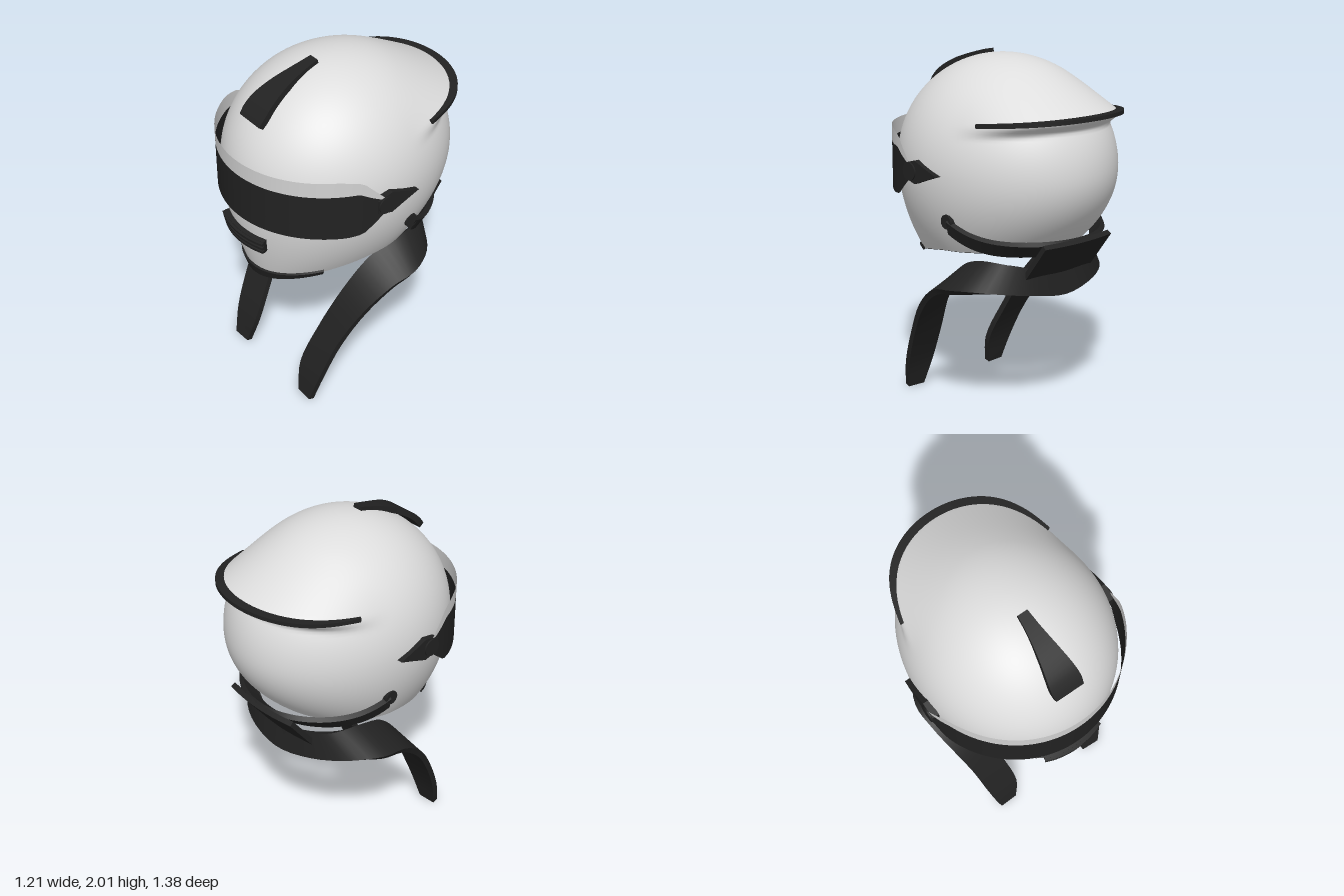
import * as THREE from 'three';
import { toCreasedNormals } from 'three/addons/utils/BufferGeometryUtils.js';

const V = (x, y, z) => new THREE.Vector3(x, y, z);
const mat = (name, color) => {
  const m = new THREE.MeshStandardMaterial({ color, side: THREE.DoubleSide });
  m.name = name;
  return m;
};
const range = (n, a, b) => Array.from({ length: n + 1 }, (_, i) => a + (b - a) * i / n);
const { smoothstep, lerp } = THREE.MathUtils;

// Surface through a list of equal-length cross-sections
function loft(sections, closed, capped) {
  const n = sections[0].length, idx = [], last = sections.length - 1;
  const m = closed ? n : n - 1;
  for (let i = 0; i < last; i++) {
    for (let j = 0; j < m; j++) {
      const a = i * n + j, b = i * n + (j + 1) % n;
      idx.push(a, b, b + n, a, b + n, a + n);
    }
  }
  if (capped) {
    const e = last * n;
    for (let j = 1; j < n - 1; j++) idx.push(0, j + 1, j, e, e + j, e + j + 1);
  }
  const g = new THREE.BufferGeometry().setFromPoints(sections.flat());
  g.setIndex(idx);
  g.computeVertexNormals();
  return g;
}

// Solid strip stretched between two edge curves
function ribbon(edgeA, edgeB, thick, n) {
  const A = new THREE.CatmullRomCurve3(edgeA), B = new THREE.CatmullRomCurve3(edgeB);
  const sections = range(n, 0, 1).map(t => {
    const a = A.getPoint(t), b = B.getPoint(t);
    const along = A.getTangent(t).add(B.getTangent(t));
    const off = b.clone().sub(a).cross(along).normalize().multiplyScalar(thick / 2);
    return [a.clone().add(off), b.clone().add(off), b.clone().sub(off), a.clone().sub(off)];
  });
  return toCreasedNormals(loft(sections, true, true), 0.6);
}

// Helmet surface at azimuth a (0 = front) and height y, with a raised rear lip
const lipY = a => 1.65 + 0.075 * -Math.cos(a);
const bottomY = a => {
  const c = Math.cos(a);
  return c > 0 ? 0.95 - 0.15 * c ** 1.2 : 0.95 - 0.04 * c;
};
function shell(a, y) {
  const c = Math.cos(a), d = 1.4 - y;
  let w = 0.57, f = 0.64, b = 0.69, k = 1;
  if (d > 0) {
    w -= 0.65 * d * d; f -= 0.25 * d * d; b -= 1.375 * d * d;
  } else {
    const s = Math.sqrt(Math.max(0, 1 - (d / 0.6) ** 2)), l = lipY(a);
    w *= s; f *= s; b *= s;
    const g = y > l ? Math.max(0, 1 - (y - l) / 0.2) ** 1.5 : smoothstep(y, l - 0.08, l);
    k += 0.19 * smoothstep(-c, 0.2, 1) * g;
  }
  return V(w * Math.sin(a) * k, y, 0.03 + (c > 0 ? f : b) * c * k);
}
const out = (a, y, d) => shell(a, y).add(V(Math.sin(a) * d, 0, Math.cos(a) * d));

export function createModel() {
  const group = new THREE.Group();
  const white = mat('shell white', 0xdddddd);
  const black = mat('trim black', 0x222222);
  const clear = mat('visor pale grey', 0xd2d2d2);
  const add = (name, geo, m) => {
    const mesh = new THREE.Mesh(geo, m);
    mesh.name = name;
    group.add(mesh);
    return mesh;
  };

  // Shell
  const around = range(96, 0, Math.PI * 2).slice(0, 96);
  const rows = [];
  for (const v of range(20, 0, 1).slice(0, 20)) rows.push(around.map(a => shell(a, lerp(bottomY(a), 1.4, v))));
  for (const p of range(56, 0, Math.PI / 2)) rows.push(around.map(a => shell(a, 1.4 + 0.6 * Math.sin(p))));
  add('helmetShell', loft(rows, true, false), white);

  // Visor: dark band below, pale band above, tapering to the pivots
  const visorPoint = (a, y) => V(0.6 * Math.sin(a), y, 0.06 + 0.625 * Math.cos(a));
  const taper = (pts, z) => {
    for (let i = 1; i < pts.length; i++) {
      const [z0, y0] = pts[i - 1], [z1, y1] = pts[i];
      if (z <= z1) return lerp(y0, y1, Math.max(0, (z - z0) / (z1 - z0)));
    }
    return pts[pts.length - 1][1];
  };
  const low = [[0.14, 1.36], [0.27, 1.25], [0.35, 1.24]];
  const mid = [[0.14, 1.43], [0.22, 1.47], [0.29, 1.51]];
  const top = [[0.14, 1.44], [0.27, 1.575], [0.38, 1.6]];
  const visorBand = (lo, hi) => loft(range(60, -1.44, 1.44).map(a => {
    const z = visorPoint(a, 0).z;
    return range(3, taper(lo, z), taper(hi, z)).map(y => visorPoint(a, y));
  }), false, false);
  add('visorDark', visorBand(low, mid), black);
  add('visorClear', visorBand(mid, top), clear);

  // Visor pivots and strap knobs, one pair per side
  const spike = new THREE.Shape([[0.19, 1.44], [0.19, 1.36], [0.1, 1.335], [0.02, 1.365],
    [-0.08, 1.4], [0.02, 1.435], [0.1, 1.465]].map(p => new THREE.Vector2(...p)));
  for (const s of [-1, 1]) {
    const side = s < 0 ? 'right' : 'left';
    const g = new THREE.ExtrudeGeometry(spike, { depth: 0.04, bevelEnabled: false });
    g.translate(0, 0, -0.02).rotateY(-Math.PI / 2);
    add(side + 'PivotArm', g, black).position.x = s * 0.575;
    const disc = add(side + 'PivotDisc', new THREE.CylinderGeometry(0.05, 0.05, 0.05, 24), black);
    disc.rotation.z = Math.PI / 2;
    disc.position.set(s * 0.578, 1.4, 0.14);
    const knob = add(side + 'StrapKnob', new THREE.CylinderGeometry(0.04, 0.04, 0.05, 16), black);
    knob.rotation.z = Math.PI / 2;
    knob.position.set(s * 0.515, 1.15, -0.09);
  }

  // Top fin
  const finEdge = s => [[0.15, 0.03], [0.25, 0.04], [0.38, 0.062], [0.48, 0.083], [0.53, 0.09], [0.562, 0.085]].map(([z, x]) =>
    V(s * x, 1.405 + 0.6 * Math.sqrt(1 - ((z - 0.03) / 0.64) ** 2 - (x / 0.57) ** 2) + 0.05 * smoothstep(z, 0.25, 0.56), z));
  add('topFin', ribbon(finEdge(-1), finEdge(1), 0.035, 16), black);

  // Rear lip strip
  const lip = d => range(32, Math.PI - 1.1, Math.PI + 1.1).map(a =>
    out(a, lipY(a), d * (0.4 + 0.6 * smoothstep(-Math.cos(a), 0.45, 0.9))));
  add('rearLip', ribbon(lip(-0.035), lip(0.03), 0.022, 48), black);

  // Mouth vent with slats
  const ventEdge = (y, d) => range(10, -0.34, 0.34).map(a => out(a, y, d));
  add('mouthVent', ribbon(ventEdge(1.05, 0.008), ventEdge(1.135, 0.008), 0.035, 16), black);
  for (const y of [1.063, 1.092, 1.121]) {
    add('ventSlat', ribbon(ventEdge(y - 0.008, 0.028), ventEdge(y + 0.008, 0.028), 0.025, 16), black);
  }

  // Chin trim and lower rim
  const chin = range(20, -0.97, 0.97);
  add('chinTrim', ribbon(chin.map(a => out(a, bottomY(a) - 0.004, 0)),
    chin.map(a => out(a, bottomY(a) + 0.06 - 0.035 * Math.abs(a), 0)), 0.025, 40), black);
  const rim = h => range(64, 0, Math.PI * 2).map(a => out(a, bottomY(a) + h, -0.012));
  add('lowerRim', ribbon(rim(0), rim(0.02), 0.014, 96), black);

  // Band around the back of the shell
  const rearBand = h => range(32, -1.36, 1.36).map(b => {
    const c = Math.cos(b);
    return out(Math.PI + b, 1.015 + 0.115 * ((1 - c) / 0.8) ** 3 + h, 0.018 + 0.06 * c ** 3);
  });
  add('rearBand', ribbon(rearBand(-0.04), rearBand(0.035), 0.03, 48), black);

  // Plate joining the band to the neck strap
  const plateEdge = (y, z) => range(6, -0.25, 0.25).map(x => V(x, y, z + 0.4 * x * x));
  add('neckPlate', ribbon(plateEdge(1.045, -0.575), plateEdge(0.84, -0.42), 0.03, 12), black);

  // Neck strap with two hanging ends
  const mirrored = pts => [...pts.map(p => V(...p)),
    ...pts.slice(0, -1).reverse().map(([x, y, z]) => V(-x, y, z))];
  const inner = mirrored([[0.26, 0.01, 0.475], [0.225, 0.18, 0.43], [0.25, 0.4, 0.32], [0.3, 0.65, 0.18],
    [0.33, 0.82, 0.02], [0.36, 0.9, -0.15], [0.33, 0.92, -0.32], [0.2, 0.89, -0.4], [0, 0.85, -0.42]]);
  const outer = mirrored([[0.37, 0.012, 0.48], [0.405, 0.18, 0.43], [0.44, 0.4, 0.33], [0.49, 0.6, 0.19],
    [0.53, 0.73, 0.02], [0.53, 0.76, -0.13], [0.43, 0.77, -0.29], [0.25, 0.75, -0.41], [0, 0.715, -0.45]]);
  add('neckStrap', ribbon(inner, outer, 0.035, 64), black);

  return group;
}
